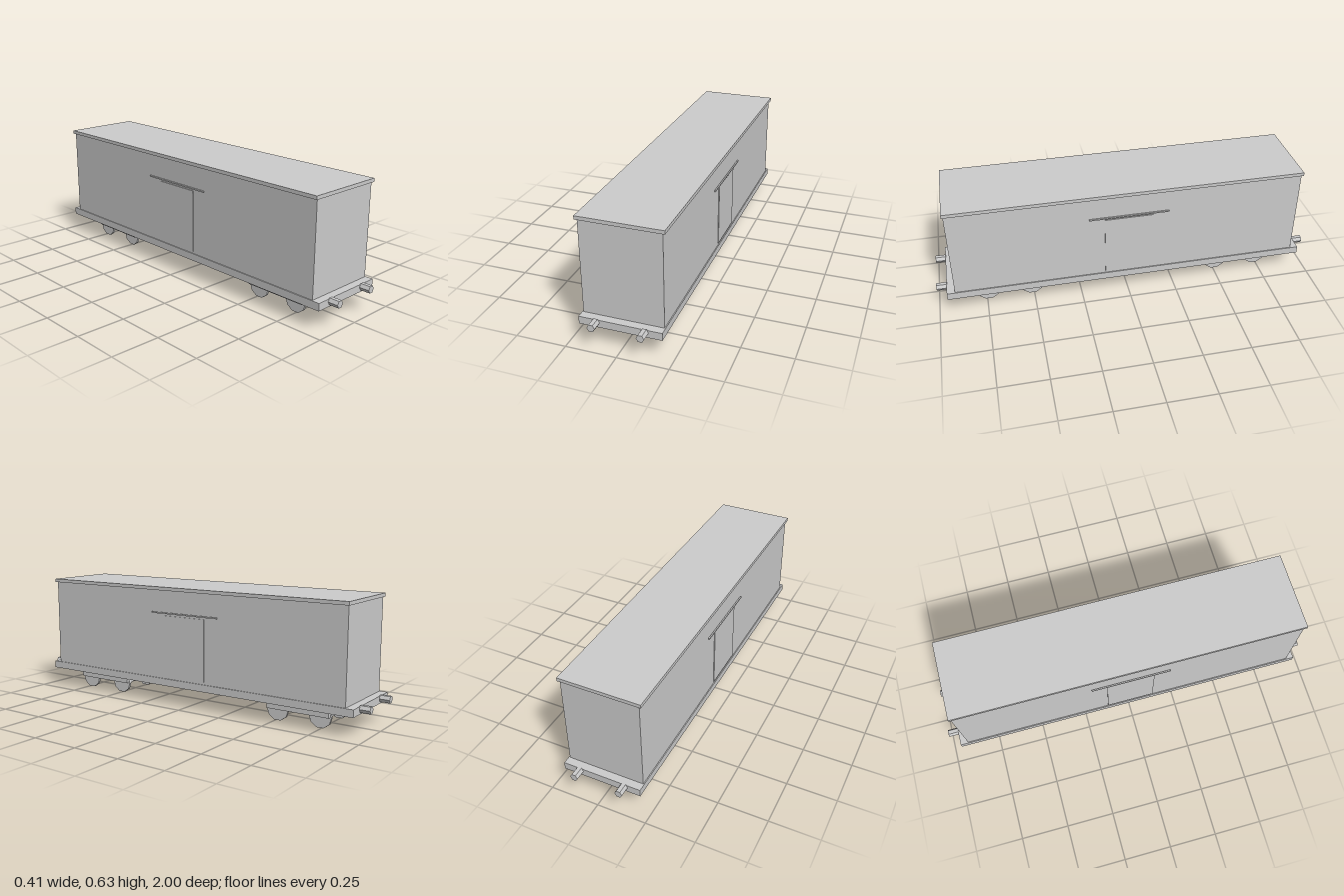
import * as THREE from 'three';

export function createModel() {
  const wagon = new THREE.Group();
  wagon.name = 'boxcar';
  const material = new THREE.MeshStandardMaterial({ color: 0xcccccc, flatShading: true });

  const add = (name, geometry, x, y, z) => {
    const mesh = new THREE.Mesh(geometry, material);
    mesh.name = name;
    mesh.position.set(x, y, z);
    wagon.add(mesh);
  };
  const box = (name, w, y0, y1, d, x = 0, z = 0) =>
    add(name, new THREE.BoxGeometry(w, y1 - y0, d), x, (y0 + y1) / 2, z);

  // Frame, body and overhanging roof
  box('underframe', 0.402, 0.103, 0.141, 1.896);
  box('body', 0.392, 0.141, 0.61, 1.814);
  box('roof', 0.415, 0.61, 0.628, 1.828);

  // Sliding door and its rail on each side
  for (const side of [-1, 1]) {
    box('door', 0.006, 0.154, 0.478, 0.25, side * 0.197);
    box('doorRail', 0.007, 0.488, 0.495, 0.414, side * 0.2025);
  }

  // Ten-sided wheel with a flat resting on the rail
  const wheel = new THREE.CylinderGeometry(0.06, 0.06, 0.0125, 10);
  wheel.rotateY(Math.PI / 2).rotateZ(Math.PI / 2);
  wheel.rotateX(Math.PI / 10);
  wheel.computeBoundingBox();
  // Turn by half a side if a corner rather than a flat points down
  if (wheel.boundingBox.min.y < -0.0585) wheel.rotateX(Math.PI / 10);

  // Six-sided buffer pointing along z, corners to left and right
  const buffer = new THREE.CylinderGeometry(0.0195, 0.0195, 0.054, 6);
  buffer.rotateY(Math.PI / 2).rotateX(Math.PI / 2);

  for (const end of [-1, 1]) {
    box('bogie', 0.259, 0.058, 0.104, 0.338, 0, end * 0.624);
    for (const side of [-1, 1]) {
      for (const offset of [-0.116, 0.116]) {
        add('wheel', wheel, side * 0.105, 0.057, end * 0.624 + offset);
      }
      add('buffer', buffer, side * 0.117, 0.128, end * 0.973);
    }
  }
  return wagon;
}
